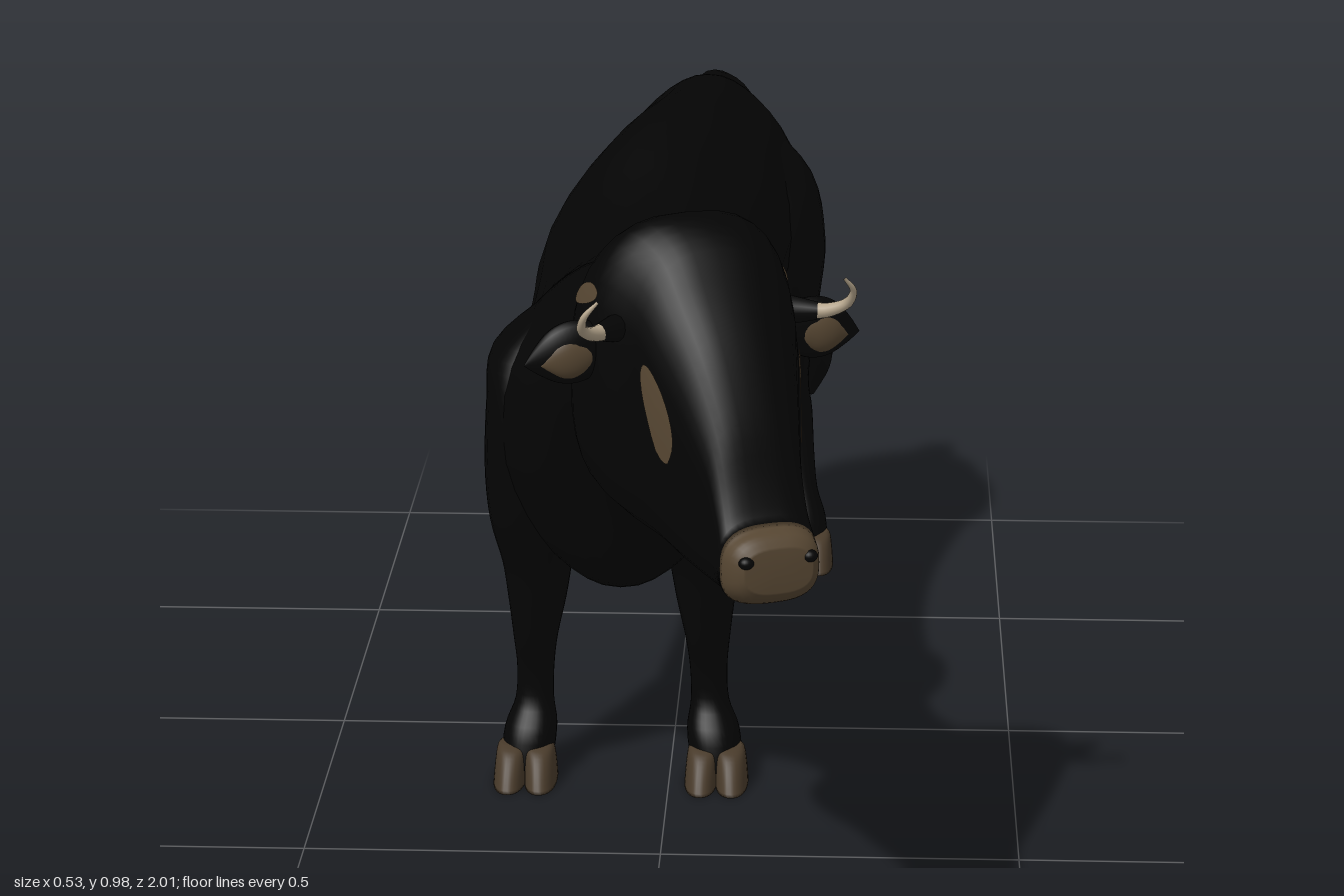
import * as THREE from 'three';

const material = (name, color) => {
  const m = new THREE.MeshStandardMaterial({ color });
  m.name = name;
  return m;
};

// Smooth interpolation between neighbouring cross-sections
function sectionAt(list, t) {
  const n = list.length - 1;
  const i = Math.min(Math.floor(t), n - 1), f = t - i;
  const [a, b, c, d] = [i - 1, i, i + 1, i + 2].map(k => list[Math.max(0, Math.min(n, k))]);
  return b.map((q, k) => q + 0.5 * f * (c[k] - a[k] + f * (2 * a[k] - 5 * q + 4 * c[k] - d[k] + f * (3 * (q - c[k]) + d[k] - a[k]))));
}

// Section = [position along axis, x centre, low, high, half width]; 'upright' runs down y, otherwise along z
function surfacePoint(list, t, a, { upright = false, taper = 0, round = 0.87, scale = 1 } = {}) {
  const [s, x, lo, hi, rx] = sectionAt(list, t);
  const soft = v => Math.sign(v) * Math.abs(v) ** round;
  const c = soft(Math.cos(a)), h = soft(Math.sin(a));
  const px = x + scale * rx * c * (1 - taper * h * h);
  const v = (lo + hi) / 2 + scale * h * (hi - lo) / 2;
  return upright ? new THREE.Vector3(px, s, v) : new THREE.Vector3(px, v, s);
}

// Closed skin through the cross-sections between t0 and t1
function loft(list, options = {}, t0 = 0, t1 = list.length - 1) {
  const sides = 36, steps = Math.ceil((t1 - t0) * 4), pos = [], index = [];
  for (let r = -1; r <= steps + 1; r++) {
    const t = t0 + (t1 - t0) * Math.max(0, Math.min(steps, r)) / steps;
    const scale = r < 0 || r > steps ? 0 : 1;
    for (let j = 0; j < sides; j++) {
      pos.push(...surfacePoint(list, t, j / sides * Math.PI * 2, { ...options, scale }).toArray());
      if (r > steps) continue;
      const a = (r + 1) * sides + j, b = (r + 1) * sides + (j + 1) % sides;
      index.push(a, b, a + sides, b, b + sides, a + sides);
    }
  }
  const g = new THREE.BufferGeometry();
  g.setAttribute('position', new THREE.Float32BufferAttribute(pos, 3));
  g.setIndex(index);
  g.computeVertexNormals();
  return g;
}

// Thin slanted oval of skin lying just above a lofted surface
function patch(list, options, t, a, dt, da, slant) {
  const g = new THREE.RingGeometry(0.001, 1, 24, 4), p = g.attributes.position;
  for (let i = 0; i < p.count; i++) {
    const u = p.getX(i), v = p.getY(i);
    const q = surfacePoint(list, t + dt * u, a + da * v + slant * u, { ...options, scale: 1.03 });
    p.setXYZ(i, q.x, q.y, q.z);
  }
  g.computeVertexNormals();
  return g;
}

// Tube narrowing from radius r0 to r1
function taperedTube(points, r0, r1) {
  const curve = new THREE.CatmullRomCurve3(points.map(p => new THREE.Vector3(...p)));
  const n = 28, g = new THREE.TubeGeometry(curve, n, 1, 12), p = g.attributes.position, v = new THREE.Vector3();
  for (let i = 0; i < p.count; i++) {
    const u = Math.floor(i / 13) / n, c = curve.getPointAt(u);
    v.fromBufferAttribute(p, i).sub(c).multiplyScalar(r0 + (r1 - r0) * u).add(c);
    p.setXYZ(i, v.x, v.y, v.z);
  }
  return g;
}

export function createModel() {
  const coat = material('black coat', 0x040404);
  const skin = material('brown skin', 0x564632);
  const hoof = material('hoof brown', 0x483a2a);
  const horn = material('horn ivory', 0xb5a58c);
  skin.side = THREE.DoubleSide;
  const model = new THREE.Group();
  model.name = 'bull';
  const add = (parent, name, geometry, mat) => {
    const m = new THREE.Mesh(geometry, mat);
    m.name = name;
    parent.add(m);
    return m;
  };
  const blob = (parent, name, mat, position, size) => {
    const m = add(parent, name, new THREE.SphereGeometry(1, 20, 14), mat);
    m.position.set(...position);
    m.scale.set(...size);
  };

  // Body and neck, tail end first
  add(model, 'body', loft([
    [-0.84, 0.02, 0.60, 0.77, 0.07], [-0.825, 0.02, 0.51, 0.81, 0.115], [-0.77, 0.02, 0.45, 0.828, 0.15],
    [-0.65, 0.01, 0.42, 0.837, 0.162], [-0.52, -0.015, 0.385, 0.838, 0.172], [-0.40, -0.045, 0.338, 0.81, 0.183],
    [-0.25, -0.055, 0.325, 0.76, 0.178], [-0.08, -0.062, 0.32, 0.735, 0.178], [0.08, -0.07, 0.31, 0.755, 0.187],
    [0.20, -0.07, 0.30, 0.78, 0.187], [0.30, -0.065, 0.325, 0.787, 0.168], [0.38, -0.058, 0.38, 0.793, 0.148],
    [0.46, -0.038, 0.475, 0.803, 0.124], [0.54, -0.022, 0.55, 0.835, 0.115], [0.60, -0.003, 0.585, 0.865, 0.115],
    [0.66, 0.025, 0.60, 0.91, 0.118], [0.70, 0.045, 0.62, 0.93, 0.09],
  ], { taper: 0.34 }), coat);
  add(model, 'sheath', loft([
    [0.38, -0.045, -0.47, -0.29, 0.05], [0.33, -0.045, -0.43, -0.345, 0.03],
    [0.30, -0.045, -0.41, -0.37, 0.018], [0.288, -0.045, -0.40, -0.38, 0.01],
  ], { upright: true }), coat);

  // Legs: x is measured outward from the body's middle at that pair
  const legs = [
    { name: 'front', centre: -0.07, heel: 0.14, rows: [
      [0.71, 0.09, 0.14, 0.28, 0.03], [0.65, 0.125, 0.10, 0.30, 0.057], [0.58, 0.13, 0.08, 0.32, 0.06],
      [0.48, 0.126, 0.08, 0.315, 0.068],
      [0.40, 0.123, 0.10, 0.295, 0.065], [0.33, 0.121, 0.11, 0.262, 0.051], [0.27, 0.122, 0.115, 0.246, 0.042],
      [0.21, 0.125, 0.137, 0.23, 0.032], [0.16, 0.126, 0.145, 0.21, 0.027], [0.11, 0.128, 0.145, 0.208, 0.028],
      [0.07, 0.133, 0.138, 0.235, 0.038], [0.02, 0.139, 0.142, 0.245, 0.038]] },
    { name: 'rear', centre: 0.03, heel: -0.85, rows: [
      [0.76, 0.06, -0.77, -0.62, 0.03], [0.68, 0.09, -0.812, -0.55, 0.072], [0.58, 0.102, -0.825, -0.54, 0.081],
      [0.48, 0.105, -0.832, -0.59, 0.07], [0.41, 0.108, -0.838, -0.645, 0.058], [0.35, 0.11, -0.847, -0.70, 0.049],
      [0.30, 0.115, -0.865, -0.745, 0.042], [0.25, 0.128, -0.865, -0.775, 0.035], [0.18, 0.14, -0.842, -0.775, 0.027],
      [0.12, 0.146, -0.832, -0.766, 0.027], [0.07, 0.15, -0.85, -0.745, 0.037], [0.02, 0.154, -0.842, -0.735, 0.038]] },
  ];
  for (const { name, centre, heel, rows } of legs) for (const side of [-1, 1]) {
    const leg = new THREE.Group();
    leg.name = name + (side > 0 ? 'LeftLeg' : 'RightLeg');
    model.add(leg);
    add(leg, 'limb', loft(rows.map(([y, x, ...r]) => [y, centre + side * x, ...r]), { upright: true }), coat);
    const [, x, back] = rows[rows.length - 1], footX = centre + side * x;
    // Cloven hoof and dewclaws
    for (const s of [-1, 1]) {
      add(leg, 'claw', loft([
        [0.055, footX + s * 0.0185, back + 0.05, back + 0.088, 0.018], [0.047, footX + s * 0.02, back + 0.034, back + 0.109, 0.0215],
        [0.025, footX + s * 0.0215, back + 0.015, back + 0.13, 0.023], [0, footX + s * 0.0225, back + 0.006, back + 0.147, 0.024],
      ], { upright: true }), hoof);
      blob(leg, 'dewclaw', hoof, [footX + s * 0.018, 0.062, heel + 0.005], [0.009, 0.014, 0.011]);
    }
  }

  // Tail and its tuft
  add(model, 'tail', taperedTube([
    [0.015, 0.785, -0.77], [0.03, 0.795, -0.825], [0.065, 0.76, -0.87], [0.095, 0.67, -0.89],
    [0.145, 0.53, -0.903], [0.172, 0.40, -0.93]], 0.03, 0.019), coat);
  add(model, 'tailTuft', loft([
    [0.45, 0.162, -0.938, -0.902, 0.017], [0.39, 0.174, -0.968, -0.905, 0.036], [0.33, 0.18, -0.992, -0.915, 0.044],
    [0.28, 0.186, -1.0, -0.94, 0.034], [0.23, 0.19, -0.986, -0.972, 0.004],
  ], { upright: true }), coat);

  // Head, turned to its left
  const head = new THREE.Group();
  head.name = 'head';
  head.position.set(0.065, 0, 0.735);
  head.rotation.y = 0.4;
  model.add(head);
  const boxy = { round: 0.72 };
  const skull = [
    [-0.14, -0.015, 0.62, 0.86, 0.088], [-0.08, -0.018, 0.585, 0.945, 0.134], [-0.02, -0.01, 0.565, 0.984, 0.138],
    [0.04, 0, 0.55, 0.962, 0.118], [0.09, 0, 0.54, 0.905, 0.1], [0.14, 0, 0.533, 0.84, 0.082],
    [0.185, 0, 0.53, 0.76, 0.067], [0.215, 0, 0.531, 0.685, 0.064], [0.238, 0, 0.535, 0.641, 0.066],
    [0.262, 0, 0.544, 0.632, 0.059], [0.275, 0, 0.56, 0.617, 0.045],
  ];
  add(head, 'skull', loft(skull, boxy, 0, 8), coat);
  add(head, 'muzzle', loft(skull, boxy, 8, 10), skin);
  const earProfile = [[0, -0.05], [0.022, -0.04], [0.034, -0.015], [0.038, 0.01], [0.032, 0.035], [0.016, 0.058], [0, 0.075]];
  const leaf = new THREE.LatheGeometry(new THREE.SplineCurve(earProfile.map(p => new THREE.Vector2(...p))).getPoints(20), 24);
  for (const s of [-1, 1]) {
    const turn = a => s > 0 ? a : Math.PI - a;
    blob(head, 'nostril', coat, [s * 0.043, 0.603, 0.271], [0.01, 0.008, 0.009]);
    add(head, 'eyePatch', patch(skull, boxy, 4.15, turn(0.14), 0.62, 0.16, -s * 0.06), skin);
    add(head, 'templePatch', patch(skull, boxy, 1.75, turn(0.42), 0.42, 0.08, 0), skin);
    // Short dark horn base, then the curved horn
    add(head, 'hornBase', taperedTube([[s * 0.09, 0.85, 0.005], [s * 0.12, 0.849, 0.015], [s * 0.15, 0.848, 0.028]], 0.026, 0.012), coat);
    add(head, 'horn', taperedTube([
      [s * 0.14, 0.848, 0.022], [s * 0.162, 0.85, 0.036], [s * 0.182, 0.862, 0.052],
      [s * 0.184, 0.882, 0.066], [s * 0.168, 0.902, 0.073]], 0.012, 0.002), horn);
    // Leaf-shaped ear with a bare inner face
    const ear = new THREE.Group();
    ear.name = s > 0 ? 'leftEar' : 'rightEar';
    ear.position.set(s * 0.16, 0.812, -0.025);
    ear.rotation.set(0, s * 0.05, -s * (Math.PI / 2 + 0.2));
    head.add(ear);
    add(ear, 'earBack', leaf, coat).scale.set(1.1, 1, 0.5);
    const inside = add(ear, 'earInside', leaf, skin);
    inside.position.set(s * 0.004, 0.01, 0.009);
    inside.scale.set(0.72, 0.6, 0.34);
  }
  return model;
}
